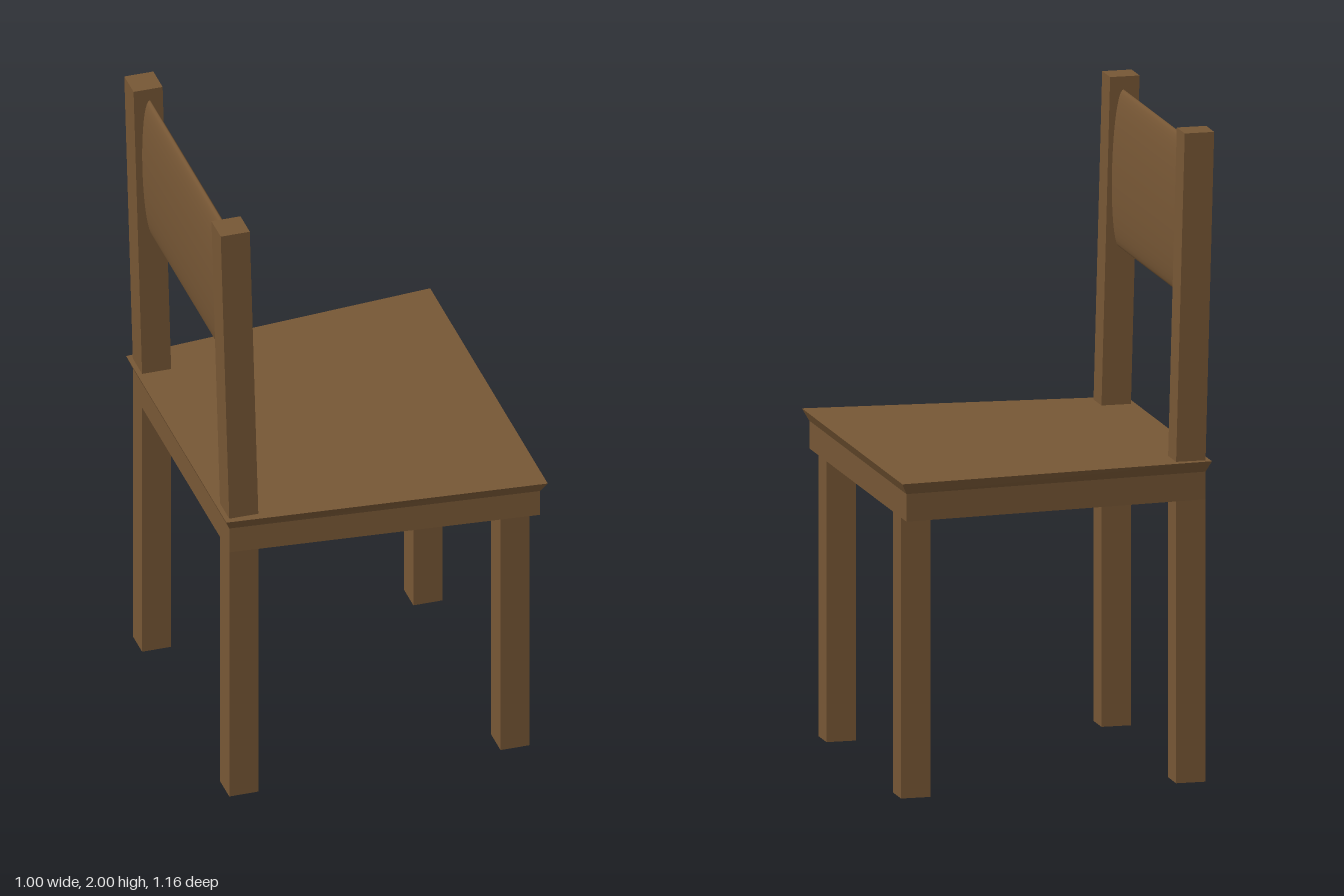
import * as THREE from 'three';

const wood = new THREE.MeshStandardMaterial({ color: 0x775735 });
wood.name = 'brown wood';

function addPart(group, name, geometry, x = 0, y = 0, z = 0) {
  const mesh = new THREE.Mesh(geometry, wood);
  mesh.name = name;
  mesh.position.set(x, y, z);
  group.add(mesh);
  return mesh;
}

// Tapered seat slab: wider at the front (+x), flaring out to a thin top lip
function seatGeometry() {
  // each row: height, back x, front x, half width at back, half width at front
  const rows = [
    [0.87, -0.475, 0.482, 0.476, 0.56],
    [0.955, -0.475, 0.482, 0.476, 0.56],
    [0.99, -0.49, 0.5, 0.495, 0.58],
  ];
  const geometry = new THREE.BoxGeometry(1, 1, 1, 1, 2, 1).toNonIndexed();
  const p = geometry.attributes.position;
  for (let i = 0; i < p.count; i++) {
    const [y, xBack, xFront, wBack, wFront] = rows[Math.round((p.getY(i) + 0.5) * 2)];
    const front = p.getX(i) > 0;
    p.setXYZ(i, front ? xFront : xBack, y, Math.sign(p.getZ(i)) * (front ? wFront : wBack));
  }
  geometry.computeVertexNormals();
  return geometry;
}

// Back leg and post in one piece, leaning backwards above the seat
function backPostGeometry(depth) {
  const profile = [[-0.475, 0], [-0.383, 0], [-0.383, 0.99], [-0.41, 2], [-0.502, 2], [-0.475, 0.99]];
  const shape = new THREE.Shape(profile.map(([x, y]) => new THREE.Vector2(x, y)));
  return new THREE.ExtrudeGeometry(shape, { depth, bevelEnabled: false }).translate(0, 0, -depth / 2);
}

export function createModel() {
  const group = new THREE.Group();
  group.name = 'chair';
  const legWidth = 0.092;
  const legZ = 0.43;

  addPart(group, 'seat', seatGeometry());

  for (const [side, label] of [[1, 'Near'], [-1, 'Far']]) {
    addPart(group, `frontLeg${label}`, new THREE.BoxGeometry(legWidth, 0.88, legWidth), 0.43, 0.44, side * legZ);
    addPart(group, `backPost${label}`, backPostGeometry(legWidth), 0, 0, side * legZ);
  }

  // Pillow-shaped backrest panel with an elliptical section, tilted with the posts
  const panel = new THREE.CylinderGeometry(1, 1, 0.78, 40).rotateX(Math.PI / 2).scale(0.029, 0.242, 1);
  addPart(group, 'backrest', panel, -0.445, 1.718, 0).rotation.z = 0.027;

  return group;
}
